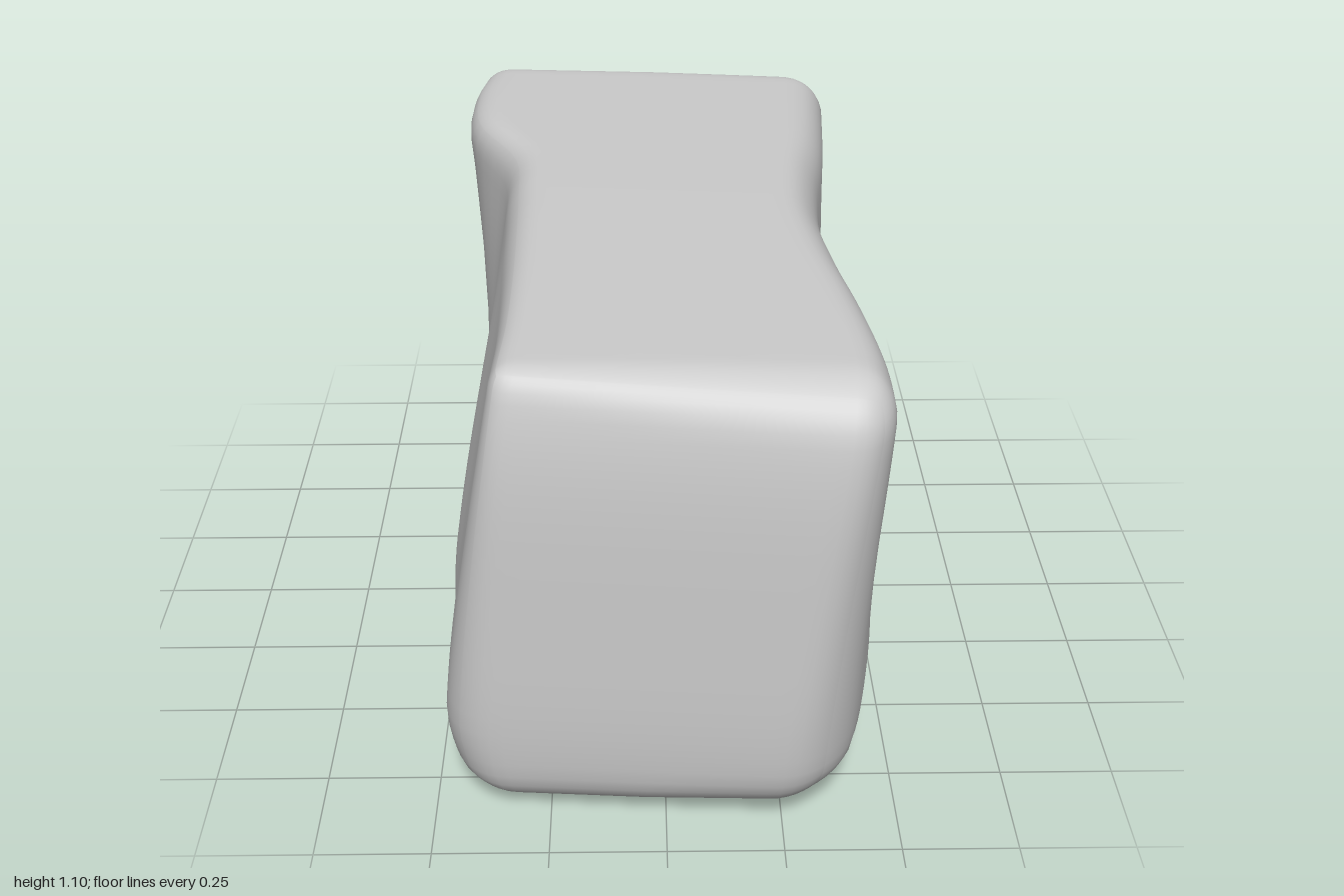
import * as THREE from 'three';
import { mergeVertices } from 'three/addons/utils/BufferGeometryUtils.js';

// Side outlines from back (z = -1) to front (z = 1), along the top and the bottom
const LEFT_TOP = [0.455, 0.44, 0.415, 0.375, 0.36, 0.38, 0.42, 0.45, 0.455];
const LEFT_BOTTOM = [0.44, 0.43, 0.43, 0.435, 0.445, 0.49, 0.47, 0.43, 0.37];
const RIGHT_TOP = [-0.47, -0.495, -0.475, -0.365, -0.345, -0.335, -0.33, -0.33, -0.34];
const RIGHT_BOTTOM = [-0.35, -0.4, -0.44, -0.465, -0.48, -0.5, -0.485, -0.48, -0.47];

// Smooth curve through evenly spaced values
function outline(values) {
  const curve = new THREE.SplineCurve(values.map((v, i) => new THREE.Vector2(i, v)));
  return (w) => curve.getPoint(THREE.MathUtils.clamp((w + 1) / 2, 0, 1)).y;
}

// Finely divided box, denser towards its edges, rounded more at the bottom and left
function roundedBlock(half) {
  let geo = new THREE.BoxGeometry(2, 2, 2, 32, 32, 52);
  geo.deleteAttribute('uv');
  geo.deleteAttribute('normal');
  geo = mergeVertices(geo);
  const pos = geo.attributes.position;
  const p = new THREE.Vector3();
  const core = new THREE.Vector3();
  const limit = new THREE.Vector3();
  for (let i = 0; i < pos.count; i++) {
    p.fromBufferAttribute(pos, i);
    p.set(...p.toArray().map((c) => Math.sin(c * Math.PI / 2)));
    const t = (p.y + 1) / 2;
    const r = THREE.MathUtils.lerp(0.13, 0.085, t) + 0.03 * Math.max(0, p.x)
      - 0.045 * t * Math.max(0, -p.x) * Math.max(0, p.z);
    p.multiply(half);
    limit.copy(half).subScalar(r);
    core.copy(p).clamp(limit.clone().negate(), limit);
    p.sub(core).setLength(r).add(core);
    pos.setXYZ(i, p.x, p.y, p.z);
  }
  return geo;
}

export function createModel() {
  const half = new THREE.Vector3(0.45, 0.545, 0.97);
  const geo = roundedBlock(half);
  const pos = geo.attributes.position;
  const lt = outline(LEFT_TOP), lb = outline(LEFT_BOTTOM);
  const rt = outline(RIGHT_TOP), rb = outline(RIGHT_BOTTOM);
  const { lerp } = THREE.MathUtils;

  // Bend the block: twisted sides tucked in at the foot, slanted ends, crowned faces
  for (let i = 0; i < pos.count; i++) {
    const u = pos.getX(i) / half.x;
    const v = pos.getY(i) / half.y;
    const w = pos.getZ(i) / half.z;
    const h = (v + 1) / 2;
    const t = Math.max(0, (h - 0.2) / 0.8) ** 1.2;
    const tuck = 1 - (0.09 - 0.03 * u) * Math.max(0, 1 - h / 0.25) ** 2;
    const x = tuck * lerp(lerp(rb(w), rt(w), t), lerp(lb(w), lt(w), t), (u + 1) / 2);
    const crown = 0.05 * (1 - v ** 4);
    const front = 0.915 + 0.12 * x + crown;
    const back = -0.924 + 0.075 * x - crown;
    const bottom = 0.018 + 0.04 * x - 0.005 * (1 - w * w);
    const top = 1.088 + 0.01 * (1 - w * w);
    pos.setXYZ(i, x, lerp(bottom, top, h), lerp(back, front, (w + 1) / 2));
  }
  geo.computeVertexNormals();

  const stone = new THREE.Mesh(geo, new THREE.MeshStandardMaterial({ color: 0xcccccc }));
  stone.name = 'stoneBlock';
  const group = new THREE.Group();
  group.name = 'stone';
  group.add(stone);
  return group;
}
